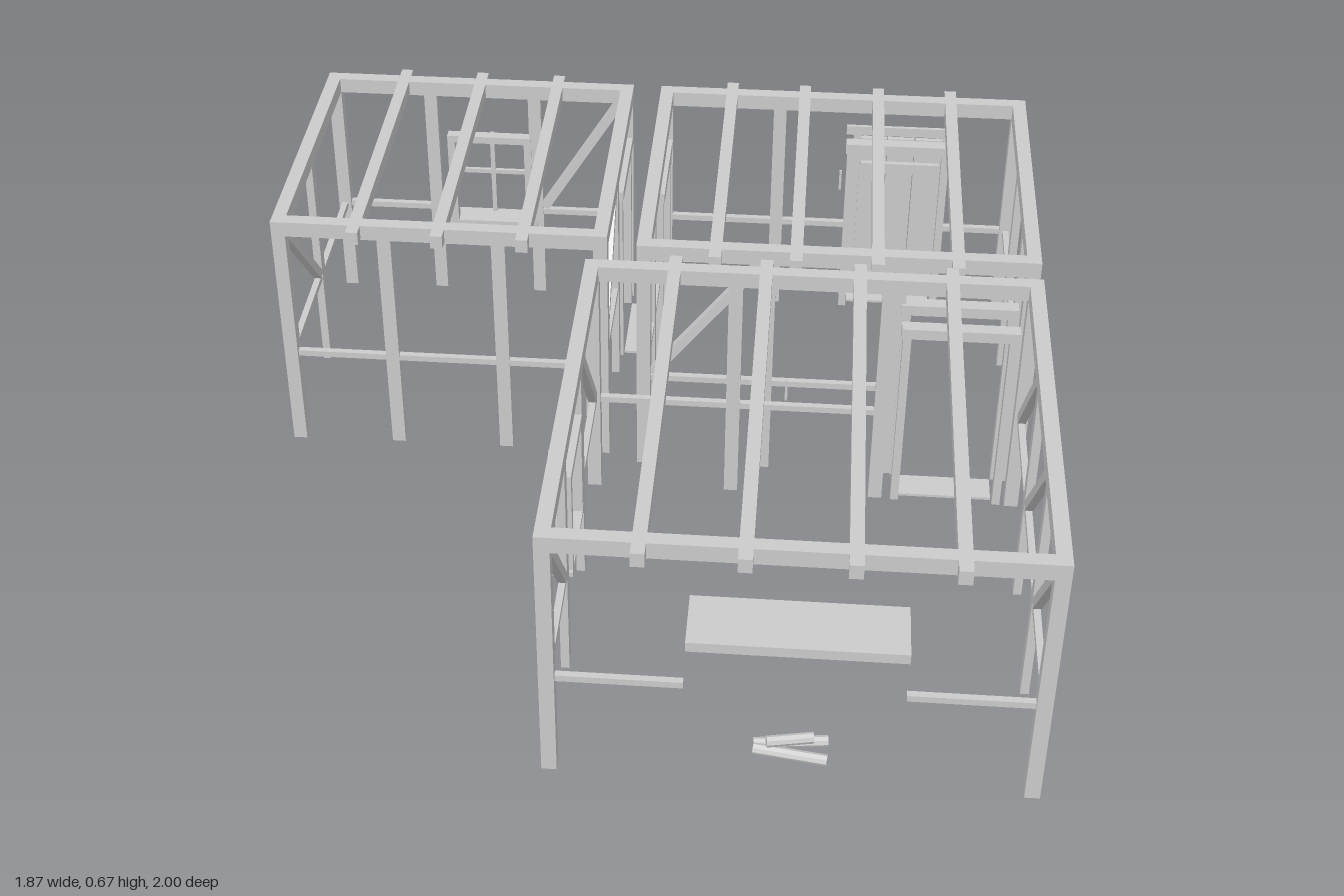
import * as THREE from 'three';

const BEAM = 0.034, POST_Y = 0.629, TOP = 0.669, RAIL = 0.272;

export function createModel() {
  const root = new THREE.Group();
  root.name = 'timberFrameHouse';
  const mat = new THREE.MeshStandardMaterial({ color: 0xcccccc, flatShading: true });

  // axis-aligned block from its limits
  function block(parent, name, x0, x1, y0, y1, z0, z1) {
    const m = new THREE.Mesh(new THREE.BoxGeometry(Math.abs(x1 - x0), y1 - y0, Math.abs(z1 - z0)), mat);
    m.position.set((x0 + x1) / 2, (y0 + y1) / 2, (z0 + z1) / 2);
    m.name = name;
    parent.add(m);
    return m;
  }

  // One wall: u runs along it, v across it; bays lie between neighbouring posts
  function wall(parent, name, axis, at, out, us, bays) {
    const g = new THREE.Group();
    g.name = name;
    parent.add(g);
    const put = (n, u0, u1, y0, y1, v0, v1) => axis === 'x'
      ? block(g, n, u0, u1, y0, y1, at + v0 * out, at + v1 * out)
      : block(g, n, at + v0 * out, at + v1 * out, y0, y1, u0, u1);
    const h = BEAM / 2;
    const rail = (u0, u1) => put('rail', u0, u1, RAIL - 0.008, RAIL + 0.008, -0.008, 0.008);

    // the beam on top and the flatter posts between the corners
    put('topBeam', us[0] - h, us[us.length - 1] + h, POST_Y, TOP, -h, h);
    us.slice(1, -1).forEach(u => put('post', u - h, u + h, 0.007, POST_Y, -0.01, 0.01));

    bays.forEach((bay, i) => {
      const [kind, c, half] = [].concat(bay);
      const a = us[i] + h, b = us[i + 1] - h;
      if (kind === 'rail') rail(a, b);
      if (kind === 'up' || kind === 'down') {
        rail(a, b);
        const y0 = RAIL + 0.008, dy = POST_Y - y0, du = b - a;
        const m = put('brace', 0, 1, 0, 1, -0.01, 0.01);
        m.geometry.dispose();
        m.geometry = new THREE.BoxGeometry(0.024, Math.hypot(dy, du) - 0.015, 0.02);
        if (axis === 'z') m.geometry.rotateY(Math.PI / 2);
        const mid = (a + b) / 2, tilt = Math.atan2(du, dy) * (kind === 'up' ? 1 : -1);
        if (axis === 'x') {
          m.position.set(mid, y0 + dy / 2, at);
          m.rotation.z = -tilt;
        } else {
          m.position.set(at, y0 + dy / 2, mid);
          m.rotation.x = tilt;
        }
      }
      if (kind === 'window') {
        const w = 0.115;
        for (const s of [-1, 1]) put('windowJamb', c + s * w, c + s * (w - 0.02), 0.235, 0.505, -0.014, 0.014);
        put('windowHead', c - w, c + w, 0.485, 0.505, -0.014, 0.014);
        put('windowSill', c - w - 0.01, c + w + 0.01, 0.224, 0.236, -0.014, 0.054);
        put('windowMullion', c - 0.006, c + 0.006, 0.236, 0.487, 0.04, 0.05);
        put('windowCrossbar', c - w + 0.015, c + w - 0.015, 0.359, 0.371, 0.04, 0.05);
      }
      if (kind === 'door') {
        const w = half + 0.02;
        for (const s of [-1, 1]) put('doorJamb', c + s * w, c + s * half, 0.007, 0.505, -0.014, 0.014);
        put('doorLintel', c - w - 0.004, c + w + 0.004, 0.503, 0.531, -h, h);
        if (a < c - w - 0.06) rail(a, c - w);
        if (b > c + w + 0.06) rail(c + w, b);
      }
      if (kind === 'counter') {
        rail(a, c - half);
        rail(c + half, b);
      }
    });
  }

  // One room: four corner posts, four walls and the joists across the top
  function room(name, x0, x1, z0, z1, joists, jz0, jz1, w) {
    const g = new THREE.Group(), h = BEAM / 2;
    g.name = name;
    root.add(g);
    for (const x of [x0, x1]) for (const z of [z0, z1])
      block(g, 'cornerPost', x - h, x + h, 0.007, POST_Y, z - h, z + h);
    wall(g, 'backWall', 'x', z0, -1, [x0, ...w.back[0], x1], w.back[1]);
    wall(g, 'frontWall', 'x', z1, 1, [x0, ...w.front[0], x1], w.front[1]);
    wall(g, 'rightWall', 'z', x0, -1, [z0, ...w.right[0], z1], w.right[1]);
    wall(g, 'leftWall', 'z', x1, 1, [z0, ...w.left[0], z1], w.left[1]);
    joists.forEach(x => block(g, 'joist', x - 0.015, x + 0.015, POST_Y + 0.005, TOP, jz0, jz1));
  }

  const sideDoor = ['door', -0.737, 0.117], innerDoor = ['door', 0.75, 0.117], backDoor = ['door', 0.607, 0.117];

  room('smallRoom', -0.92, -0.127, -0.907, -0.181, [-0.73, -0.523, -0.315], -0.957, -0.132, {
    back: [[-0.661, -0.379], ['rail', ['window', -0.506], 'up']],
    front: [[-0.661, -0.379], ['rail', 'rail', 'rail']],
    right: [[-0.537], ['rail', 'up']],
    left: [[-0.537], [sideDoor, 'down']],
  });
  room('rearRoom', -0.019, 0.915, -0.907, -0.149, [0.155, 0.349, 0.544, 0.735], -0.957, -0.097, {
    back: [[0.285], ['rail', backDoor]],
    front: [[0.285, 0.602], ['up', 'rail', innerDoor]],
    right: [[-0.39], [sideDoor, 'rail']],
    left: [[-0.653, -0.39], ['rail', 'rail', 'rail']],
  });
  room('frontRoom', -0.135, 0.915, -0.048, 0.947, [0.063, 0.28, 0.502, 0.719], -0.096, 0.998, {
    back: [[0.21, 0.574], ['rail', 'rail', innerDoor]],
    front: [[], [['counter', 0.392, 0.236]]],
    right: [[0.286, 0.626], ['up', ['window', 0.448], 'up']],
    left: [[0.286, 0.626], ['up', 'up', 'up']],
  });

  // thresholds
  block(root, 'sideThreshold', -0.112, -0.035, 0, 0.007, -0.853, -0.622);
  block(root, 'innerThreshold', 0.635, 0.865, 0, 0.007, -0.135, -0.06);
  block(root, 'backThreshold', 0.492, 0.722, 0, 0.007, -0.985, -0.925);

  // outer door: recessed planks, battens inside and a thin trim outside
  const door = new THREE.Group();
  door.name = 'backDoor';
  root.add(door);
  for (let i = 0; i < 3; i++)
    block(door, 'doorPlank', 0.506 + i * 0.074, 0.578 + i * 0.074, 0.008, 0.505, -0.988, -0.974);
  for (const y of [0.095, 0.405]) block(door, 'doorBatten', 0.51, 0.722, y, y + 0.03, -0.974, -0.96);
  block(door, 'trimHead', 0.467, 0.757, 0.505, 0.531, -1, -0.99);
  for (const x of [0.487, 0.725]) block(door, 'trimJamb', x, x + 0.02, 0, 0.505, -1, -0.99);

  // serving counter
  block(root, 'counter', 0.158, 0.63, 0.355, 0.38, 0.788, 0.938);

  // small pile of logs
  const logs = new THREE.Group();
  logs.name = 'logPile';
  root.add(logs);
  [[0.39, 0.031, 0.862, 0.165, 0.12], [0.39, 0.031, 0.9, 0.165, -0.15], [0.388, 0.056, 0.88, 0.105, 0.2]]
    .forEach(([x, y, z, len, turn]) => {
      const m = new THREE.Mesh(new THREE.CylinderGeometry(0.013, 0.013, len, 8).rotateZ(Math.PI / 2), mat);
      m.position.set(x, y, z);
      m.rotation.y = turn;
      m.name = 'log';
      logs.add(m);
    });

  // thin hanging rods
  for (const [x, z] of [[0.449, -0.53], [0.342, 0.378]])
    block(root, 'hangingRod', x - 0.003, x + 0.003, 0.61, 0.665, z - 0.003, z + 0.003);

  return root;
}
